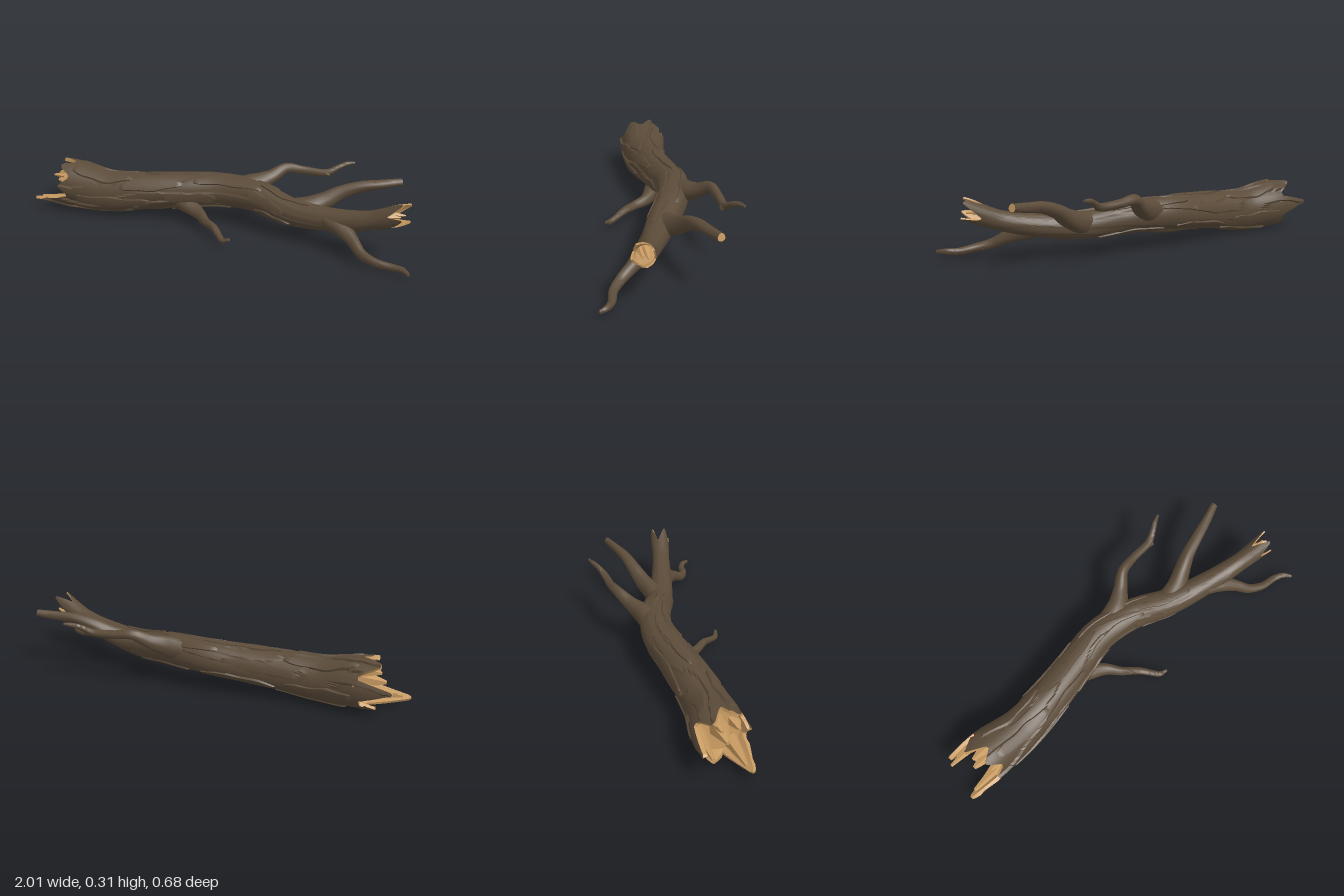
import * as THREE from 'three';
import { toCreasedNormals } from 'three/addons/utils/BufferGeometryUtils.js';

const TAU = Math.PI * 2;
const UP = new THREE.Vector3(0, 1, 0);
const lerp = THREE.MathUtils.lerp;

// Sheet of quads from fn(row, column) -> Vector3; closed joins last column to first
function sheet(rows, cols, closed, fn, crease = 0.7) {
  const pos = [], idx = [], n = closed ? cols : cols + 1;
  for (let i = 0; i <= rows; i++)
    for (let j = 0; j < n; j++) pos.push(...fn(i, j).toArray());
  for (let i = 0; i < rows; i++)
    for (let j = 0; j < cols; j++) {
      const a = i * n + j, b = i * n + (j + 1) % n;
      idx.push(a, a + n, b, b, a + n, b + n);
    }
  const g = new THREE.BufferGeometry();
  g.setAttribute('position', new THREE.Float32BufferAttribute(pos, 3));
  g.setIndex(idx);
  return toCreasedNormals(g, crease);
}

// Path with a radius at each [x, y, z, r]; returns point(t, angle, radiusFn)
function sweep(points) {
  const curve = new THREE.CatmullRomCurve3(points.map(p => new THREE.Vector3(p[0], p[1], p[2])));
  const last = points.length - 1;
  return (t, a, radius) => {
    t = THREE.MathUtils.clamp(t, 0, 1);
    const s = t * last, i = Math.min(Math.floor(s), last - 1);
    const r = lerp(points[i][3], points[i + 1][3], s - i);
    const T = curve.getTangent(t);
    const U = UP.clone().addScaledVector(T, -T.y).normalize();
    const N = T.clone().cross(U);
    const R = radius(r);
    return curve.getPoint(t).addScaledVector(N, Math.cos(a) * R).addScaledVector(U, Math.sin(a) * R);
  };
}

// Trunk stations, evenly spaced in x so that t = (x + 1) / 2
const trunkPath = [
  [-1, 0.15, -0.10, 0.125], [-0.8, 0.137, -0.10, 0.126], [-0.6, 0.12, -0.083, 0.107],
  [-0.4, 0.137, -0.092, 0.097], [-0.2, 0.155, -0.113, 0.089], [0, 0.17, -0.135, 0.083],
  [0.2, 0.167, -0.095, 0.077], [0.4, 0.138, -0.01, 0.068], [0.6, 0.148, 0.058, 0.056],
  [0.8, 0.19, 0.115, 0.046], [1, 0.275, 0.165, 0.055],
];

// Overlapping lengthwise bark ridges
function ridge(t, a) {
  const u = (a / TAU) * 9 + 0.5 * Math.sin(t * 11) + 0.35 * Math.sin(a * 2 + t * 17) + 9;
  const f = u - Math.floor(u), id = Math.floor(u) % 9;
  const depth = lerp(0.13, 0.03, t) * (0.7 + 0.3 * Math.sin(t * 14 + id * 2));
  return 1 + depth * (f - 0.55);
}

// Splintered rims: [angle in degrees, length, half width in degrees]
const leftTeeth = [[-50, 0.2, 34], [180, 0.15, 24], [118, 0.09, 28], [62, 0.06, 24], [-115, 0.06, 30], [10, 0.05, 20]];
const rightTeeth = [[60, 0.08, 45], [150, 0.09, 45], [-20, 0.06, 40], [-110, 0.07, 45]];
function tooth(teeth, a) {
  let h = 0;
  for (const [deg, len, w] of teeth) {
    const d = Math.abs(((a * 360 / TAU - deg + 540) % 360 + 360) % 360 - 180);
    h = Math.max(h, len * Math.min(1, 1.15 * Math.max(0, 1 - d / w)));
  }
  return h;
}
const leftEnd = a => (1 - 0.8 - tooth(leftTeeth, a)) / 2;
const rightEnd = a => (1 + 0.88 + tooth(rightTeeth, a)) / 2;

export function createModel() {
  const bark = new THREE.MeshStandardMaterial({ color: 0x5b4b39, side: THREE.DoubleSide });
  bark.name = 'bark';
  const wood = new THREE.MeshStandardMaterial({ color: 0xc99b62, side: THREE.DoubleSide });
  wood.name = 'bareWood';
  const model = new THREE.Group();
  model.name = 'fallenBranch';
  const add = (name, geometry, material) => {
    const m = new THREE.Mesh(geometry, material);
    m.name = name;
    model.add(m);
    return m;
  };

  // Trunk bark
  const trunk = sweep(trunkPath);
  const COLS = 90, ROWS = 90;
  add('trunkBark', sheet(ROWS, COLS, true, (i, j) => {
    const a = j / COLS * TAU, t = lerp(leftEnd(a), rightEnd(a), i / ROWS);
    return trunk(t, a, r => r * ridge(t, a));
  }), bark);

  // Bare wood lining inside each broken end: rim, wall, then floor
  const lining = (name, end, floor, sign) => add(name, sheet(3, COLS, true, (i, j) => {
    const a = sign * j / COLS * TAU;
    const t = i < 2 ? end(a) : floor;
    return trunk(t, a, r => r * [ridge(t, a), 0.86, 0.8, 0][i]);
  }, 0.5), wood);
  lining('leftBreak', leftEnd, 0.11, -1);
  lining('rightBreak', rightEnd, 0.925, 1);

  // Wood splinters standing in the breaks: [x, y, z, length, radius, direction]
  const splinters = [
    [-0.77, 0.07, -0.04, 0.2, 0.04, -1], [-0.77, 0.14, -0.19, 0.2, 0.035, -1],
    [-0.77, 0.15, -0.10, 0.13, 0.05, -1], [-0.77, 0.2, -0.12, 0.11, 0.04, -1],
    [-0.77, 0.17, -0.03, 0.08, 0.035, -1],
    [0.86, 0.235, 0.13, 0.09, 0.02, 1], [0.86, 0.23, 0.15, 0.07, 0.018, 1],
  ];
  for (const [x, y, z, len, r, dir] of splinters) {
    const g = new THREE.CylinderGeometry(r * 0.2, r, len, 5).toNonIndexed();
    g.computeVertexNormals();
    g.translate(0, len / 2, 0).rotateZ(-dir * Math.PI / 2);
    add('splinter', g, wood).position.set(x, y, z);
  }

  // Loose bark plates: [x, angle in degrees, length, half width in degrees]
  const plates = [
    [-0.62, 60, 0.36, 20], [-0.35, 35, 0.34, 19], [-0.55, -15, 0.4, 18], [-0.6, 125, 0.4, 18],
    [-0.2, 95, 0.4, 16], [-0.15, -10, 0.3, 20], [0.05, 50, 0.4, 18], [-0.3, 165, 0.4, 19],
    [0.1, 130, 0.4, 17], [-0.6, 200, 0.36, 18], [-0.55, 250, 0.36, 19], [-0.2, 225, 0.4, 18],
    [-0.1, 285, 0.36, 20], [0.28, 15, 0.22, 24], [0.2, 240, 0.34, 18], [0.36, 80, 0.3, 18],
    [0.32, -40, 0.2, 22],
  ];
  plates.forEach(([x, deg, len, half], k) => {
    const n = 18, m = 8;
    add('barkPlate', sheet(n, m, false, (i, j) => {
      const u = i / n, v = j / m * 2 - 1;
      const w = Math.pow(Math.sin(Math.PI * Math.min(0.99, Math.max(0.01, u))), 0.5) * (1 + 0.15 * Math.sin(u * 13 + k));
      const a = (deg + half * w * v + 9 * (u - 0.5) * Math.sin(k * 2.3)) * TAU / 360;
      const edge = i === 0 || i === n || j === 0 || j === m;
      const lift = edge ? -0.01 : 0.003;
      return trunk((x + len * (u - 0.5) + 1) / 2, a, r => r * 1.035 + lift);
    }), bark);
  });

  // Side branches, each a tapering limb with a closed tip
  const limb = (name, points, tipMaterial = bark) => {
    const point = sweep(points), n = 40, m = 14;
    const g = sheet(n, m, true, (i, j) => {
      const t = i / n, a = j / m * TAU;
      return point(t, a, r => r * (1 + 0.05 * Math.sin(3 * a + t * 9)));
    }, 1);
    add(name, g, bark);
    add(name + 'Tip', sheet(1, m, true, (i, j) => {
      const a = j / m * TAU;
      return point(1, a, r => i ? 0 : r * (1 + 0.05 * Math.sin(3 * a + 9)));
    }), tipMaterial);
  };
  limb('backBranch', [
    [0.06, 0.18, -0.14, 0.06], [0.16, 0.205, -0.165, 0.055], [0.24, 0.235, -0.215, 0.036],
    [0.31, 0.275, -0.262, 0.026], [0.4, 0.268, -0.276, 0.021], [0.52, 0.265, -0.28, 0.019],
    [0.575, 0.292, -0.302, 0.014], [0.61, 0.305, -0.322, 0.012], [0.65, 0.311, -0.338, 0.006],
  ]);
  limb('backStub', [[0.46, 0.266, -0.278, 0.016], [0.5, 0.262, -0.274, 0.016], [0.535, 0.258, -0.265, 0.01]]);
  limb('middleBranch', [
    [0.36, 0.145, -0.02, 0.055], [0.46, 0.16, -0.035, 0.052], [0.54, 0.19, -0.065, 0.043],
    [0.62, 0.235, -0.095, 0.034], [0.71, 0.265, -0.118, 0.028], [0.81, 0.277, -0.145, 0.023],
    [0.905, 0.288, -0.175, 0.018],
  ], wood);
  limb('frontBranch', [
    [0.58, 0.145, 0.065, 0.045], [0.66, 0.125, 0.11, 0.042], [0.72, 0.095, 0.165, 0.03],
    [0.77, 0.06, 0.222, 0.024], [0.84, 0.043, 0.262, 0.02], [0.92, 0.035, 0.277, 0.017],
    [0.965, 0.038, 0.3, 0.014], [0.993, 0.035, 0.335, 0.008],
  ]);
  limb('lowerBranch', [
    [-0.24, 0.115, -0.09, 0.045], [-0.15, 0.09, -0.055, 0.042], [-0.08, 0.072, -0.01, 0.03],
    [-0.03, 0.063, 0.055, 0.022], [0.03, 0.06, 0.115, 0.019], [0.075, 0.04, 0.17, 0.015],
    [0.1, 0.035, 0.2, 0.014], [0.135, 0.052, 0.215, 0.007],
  ]);
  return model;
}
